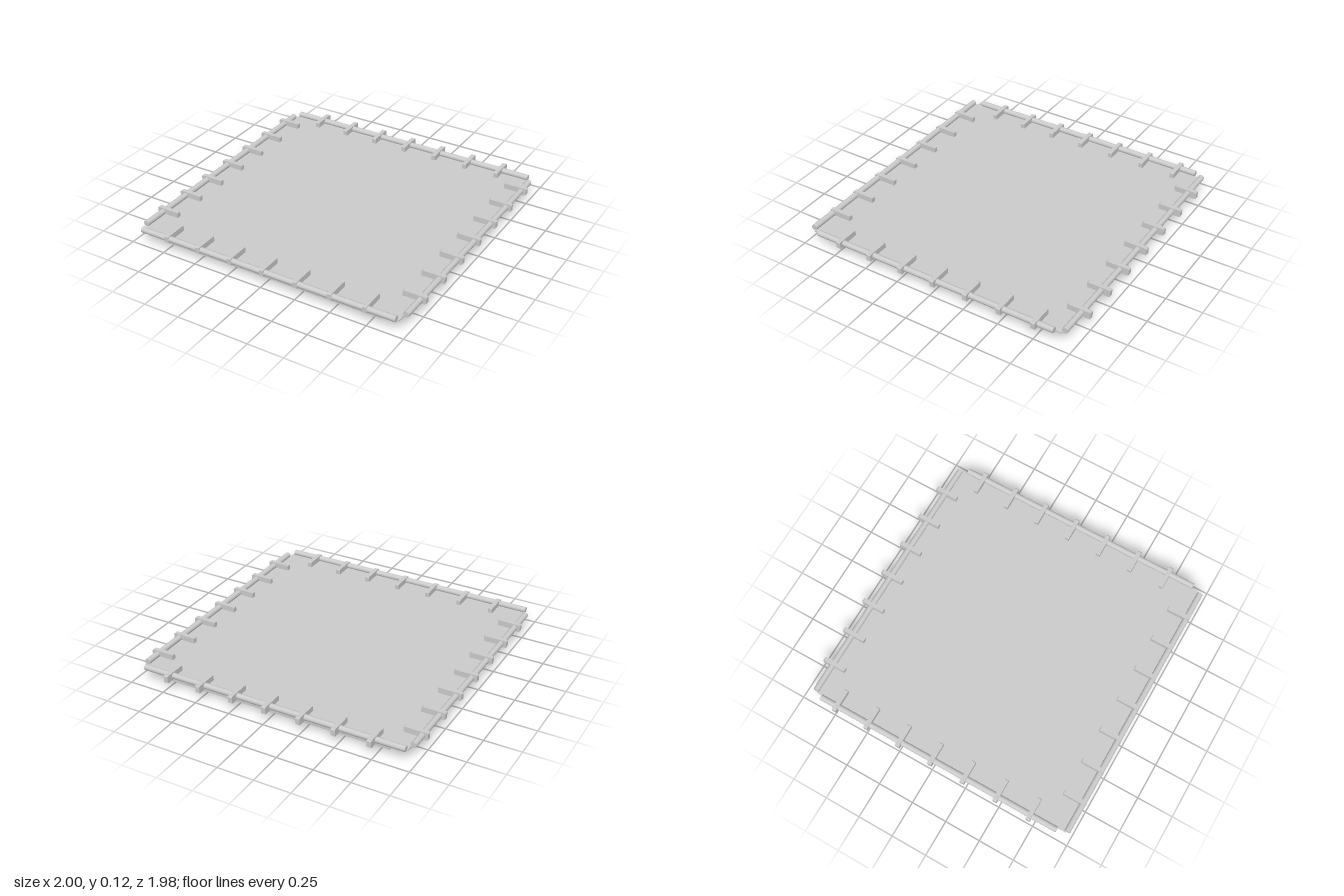
import * as THREE from 'three';

const mat = new THREE.MeshStandardMaterial({ color: 0xcccccc });
const CZ = 0.01; // middle of the panel in z

function add(parent, geo, name, x = 0, y = 0, z = 0) {
  const m = new THREE.Mesh(geo, mat);
  m.name = name;
  m.position.set(x, y, z);
  parent.add(m);
  return m;
}

// Extrude an outline, centred along its length
function extrude(points, length) {
  const shape = new THREE.Shape(points.map(([x, y]) => new THREE.Vector2(x, y)));
  const g = new THREE.ExtrudeGeometry(shape, { depth: length, bevelEnabled: false });
  return g.translate(0, 0, -length / 2);
}

// Round bar lying along x or z
function bar(parent, name, axis, r, length, x, y, z) {
  const g = new THREE.CylinderGeometry(r, r, length, 24);
  if (axis === 'x') g.rotateZ(Math.PI / 2);
  else g.rotateX(Math.PI / 2);
  return add(parent, g, name, x, y, z);
}

export function createModel() {
  const root = new THREE.Group();
  root.name = 'squarePlatform';

  // Thin square panel
  add(root, new THREE.BoxGeometry(1.89, 0.008, 1.87), 'panel', 0, 0.084, 0.02);

  // Edge rods
  for (const z of [-0.925, 0.965]) bar(root, 'edgeRod', 'x', 0.02, 1.87, -0.003, 0.1, z);
  for (const x of [-0.96, 0.96]) bar(root, 'edgeRod', 'z', 0.02, 1.77, x, 0.1, 0.015);

  // Clips: outer end wraps the rod, inner end rests on the panel
  const clipGeo = extrude([
    [0, 0.08], [0.006, 0.075], [0.05, 0.075], [0.06, 0.083], [0.16, 0.083],
    [0.16, 0.122], [0.155, 0.126], [0.006, 0.126], [0, 0.12],
  ], 0.03);
  const boltGeo = new THREE.CylinderGeometry(0.012, 0.012, 0.012, 12);
  const clip = (x, z, turn) => {
    const g = new THREE.Group();
    g.name = 'clip';
    add(g, clipGeo, 'clipBar');
    add(g, boltGeo, 'clipBolt', 0.14, 0.077, 0);
    g.position.set(x, 0, z);
    g.rotation.y = turn;
    root.add(g);
  };
  for (let i = -3; i <= 3; i++) {
    const s = i * 0.2425;
    clip(s, -0.99, -Math.PI / 2);
    clip(s, 0.985, Math.PI / 2);
    clip(-1, s - 0.017, 0);
    clip(1, s - 0.017, Math.PI);
  }

  // Angle beams underneath: web outside, flange inward, small foot
  const beamProfile = [
    [0, 0.004], [0.014, 0.004], [0.01, 0.016], [0.01, 0.036], [0.03, 0.052],
    [0.065, 0.052], [0.065, 0.065], [0, 0.065],
  ];
  const beam = (x, z, length, turn, name) => {
    add(root, extrude(beamProfile, length), name, x, 0, z).rotation.y = turn;
  };
  beam(-0.905, 0.015, 1.61, 0, 'sideBeam');
  beam(0.85, 0.015, 1.61, Math.PI, 'sideBeam');
  beam(-0.005, 0.895, 1.59, Math.PI / 2, 'frontBeam');
  beam(-0.005, -0.86, 1.59, -Math.PI / 2, 'backBeam');

  // Crossed tubes, each poking through one beam
  bar(root, 'crossTube', 'x', 0.02, 1.795, 0.0025, 0.04, 0.015);
  bar(root, 'crossTube', 'z', 0.02, 1.755, 0, 0.04, 0.0075);

  // Ring under the panel
  const ringPts = [[0.305, 0.045], [0.325, 0.045], [0.325, 0.081], [0.305, 0.081], [0.305, 0.045]];
  for (let i = 0; i < 4; i++) {
    const [a, b] = [ringPts[i], ringPts[i + 1]].map(([x, y]) => new THREE.Vector2(x, y));
    add(root, new THREE.LatheGeometry([a, b], 64), 'ring', 0, 0, CZ);
  }

  // Faint round rim on top of the panel
  add(root, new THREE.RingGeometry(0.303, 0.306, 64).rotateX(-Math.PI / 2), 'panelRim', 0, 0.0885, CZ);
  return root;
}
